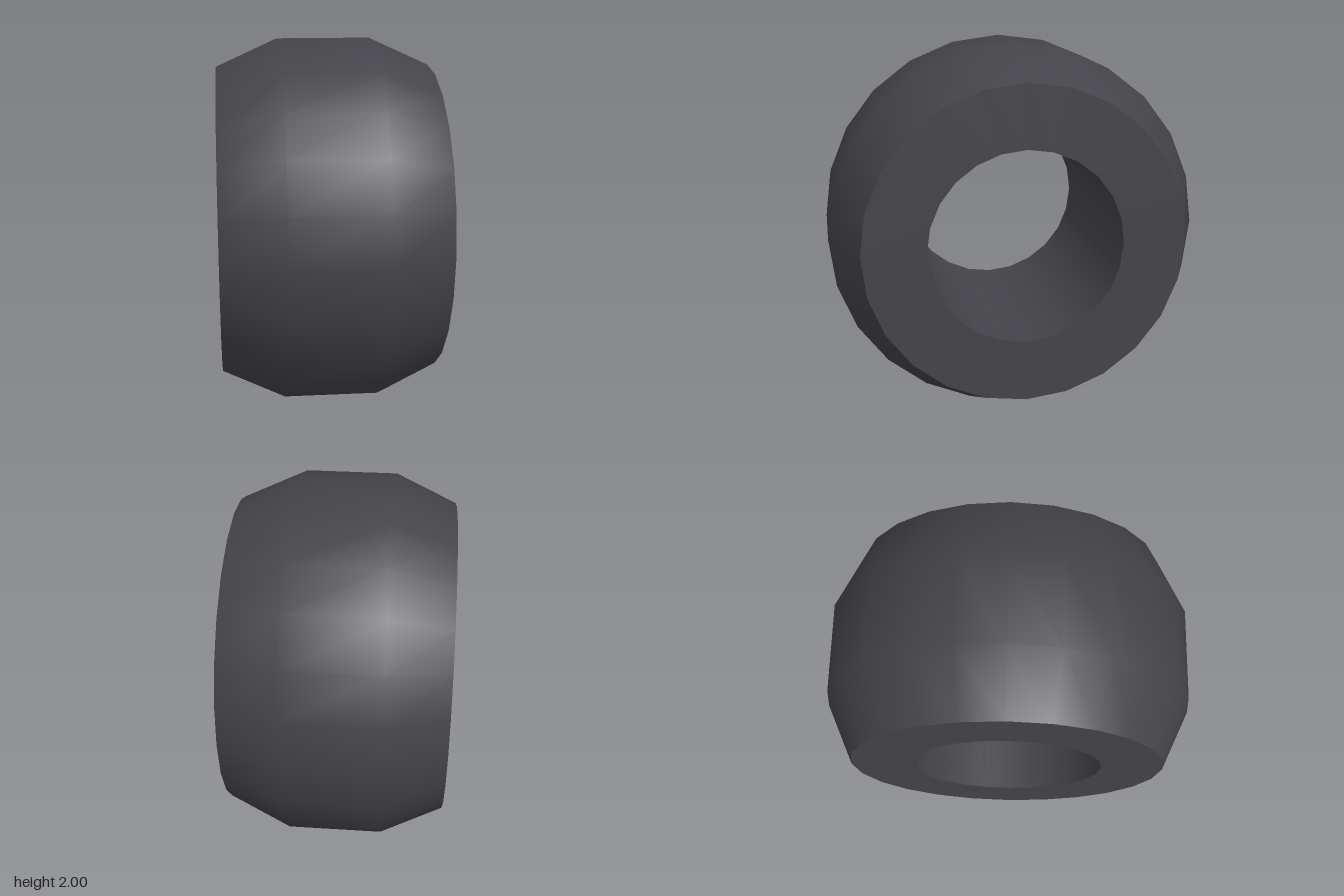
import * as THREE from 'three';

const SIDES = 24;
const HALF_WIDTH = 0.58, TREAD_HALF = 0.25;
const R_TREAD = 1, R_SHOULDER = 0.85, R_BORE = 0.515;

export function createModel() {
  const model = new THREE.Group();
  model.name = 'tyre';

  const rubber = new THREE.MeshStandardMaterial({ color: 0x444349 });
  rubber.name = 'dark rubber';

  // Each surface is its own lathe, so edges between them stay sharp
  const addRing = (name, profile) => {
    const points = profile.map(([r, x]) => new THREE.Vector2(r, x));
    const mesh = new THREE.Mesh(new THREE.LatheGeometry(points, SIDES), rubber);
    mesh.name = name;
    mesh.rotation.z = -Math.PI / 2; // lay the axle along x
    mesh.position.y = R_TREAD;
    model.add(mesh);
  };

  // Tread with sloping shoulders, shaded smoothly
  addRing('tread', [
    [R_SHOULDER, -HALF_WIDTH], [R_TREAD, -TREAD_HALF],
    [R_TREAD, TREAD_HALF], [R_SHOULDER, HALF_WIDTH],
  ]);
  // Flat sidewalls
  addRing('leftSidewall', [[R_SHOULDER, HALF_WIDTH], [R_BORE, HALF_WIDTH]]);
  addRing('rightSidewall', [[R_BORE, -HALF_WIDTH], [R_SHOULDER, -HALF_WIDTH]]);
  // Open centre hole
  addRing('bore', [[R_BORE, HALF_WIDTH], [R_BORE, -HALF_WIDTH]]);

  return model;
}
